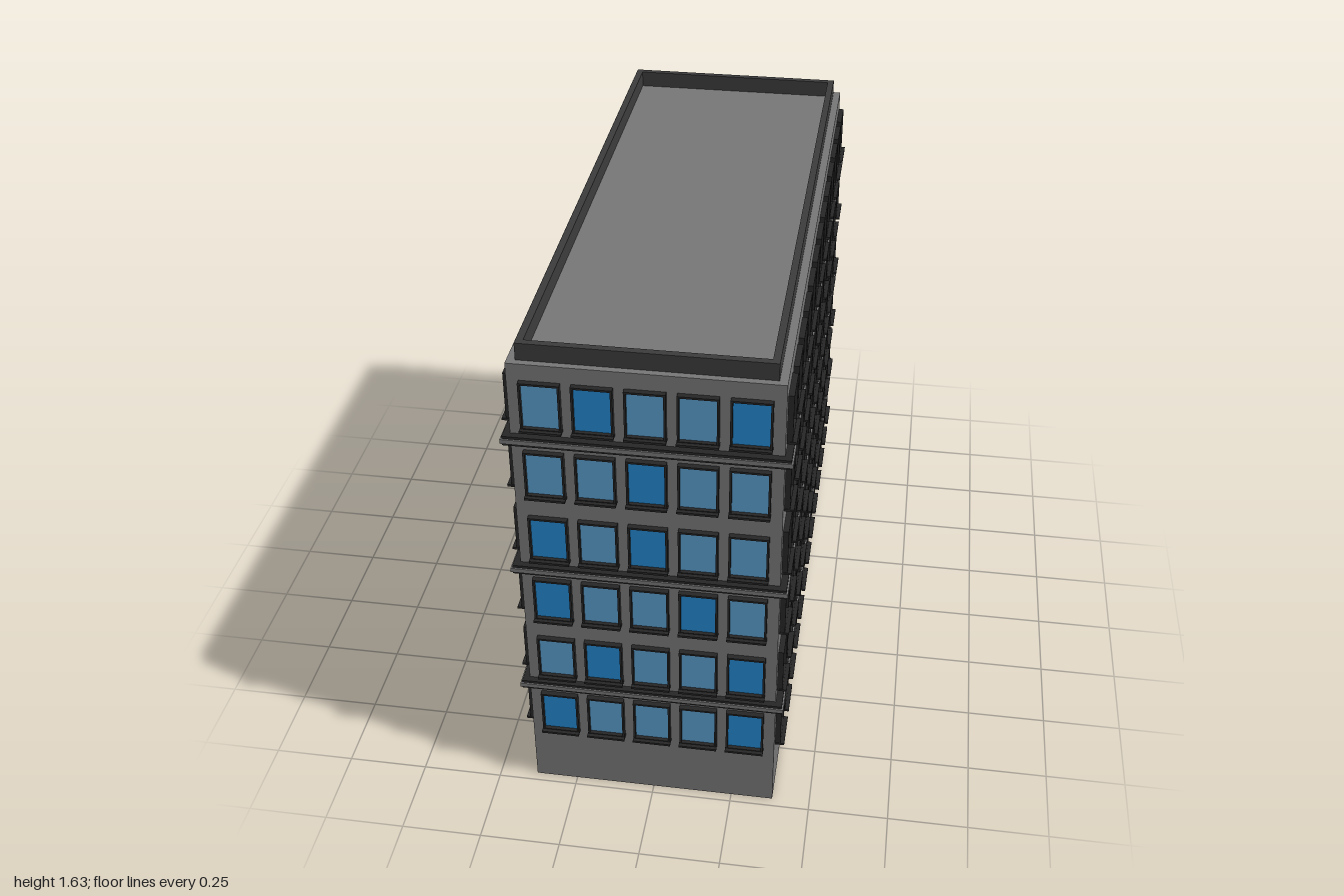
import * as THREE from 'three';

const mat = (name, color) => {
  const m = new THREE.MeshStandardMaterial({ color });
  m.name = name;
  return m;
};

export function createModel() {
  const wall = mat('wall grey', 0x777777);
  const dark = mat('parapet charcoal', 0x3c3c3c);
  const trim = mat('frame black', 0x262626);
  const paleGlass = mat('pale blue glass', 0x5b9dcd);
  const deepGlass = mat('deep blue glass', 0x2387cd);

  const X = 0.382, Z = 0.971, ROOF = 1.58;
  const DOOR_W = 0.08, DOOR_H = 0.17, DOOR_D = 0.06;
  const building = new THREE.Group();
  building.name = 'officeBuilding';

  const add = (parent, name, geometry, material, x = 0, y = 0, z = 0) => {
    const mesh = new THREE.Mesh(geometry, material);
    mesh.name = name;
    mesh.position.set(x, y, z);
    parent.add(mesh);
    return mesh;
  };
  const box = (w, h, d) => new THREE.BoxGeometry(w, h, d);

  // Ground storey: plan outline with the entrance notched into the +x side
  const plan = new THREE.Shape([
    [-X, -Z], [X, -Z], [X, -DOOR_W], [X - DOOR_D, -DOOR_W],
    [X - DOOR_D, DOOR_W], [X, DOOR_W], [X, Z], [-X, Z],
  ].map(([x, z]) => new THREE.Vector2(x, z)));
  const baseGeo = new THREE.ExtrudeGeometry(plan, { depth: DOOR_H, bevelEnabled: false });
  baseGeo.rotateX(-Math.PI / 2);
  add(building, 'groundStorey', baseGeo, wall);
  add(building, 'upperStoreys', box(2 * X, ROOF - DOOR_H, 2 * Z), wall, 0, (ROOF + DOOR_H) / 2, 0);
  add(building, 'entranceDoor', box(0.006, DOOR_H, 2 * DOOR_W), paleGlass, X - DOOR_D + 0.003, DOOR_H / 2, 0);

  // Rectangular ring, extruded along +z
  const ring = (w, h, border, depth) => {
    const rect = (Type, a, b) => new Type([
      new THREE.Vector2(-a, -b), new THREE.Vector2(a, -b),
      new THREE.Vector2(a, b), new THREE.Vector2(-a, b),
    ]);
    const shape = rect(THREE.Shape, w / 2, h / 2);
    shape.holes.push(rect(THREE.Path, w / 2 - border, h / 2 - border));
    return new THREE.ExtrudeGeometry(shape, { depth, bevelEnabled: false });
  };

  // Roof parapet
  const parapet = ring(0.716, 1.902, 0.021, 0.053);
  parapet.rotateX(-Math.PI / 2);
  add(building, 'parapet', parapet, dark, 0, ROOF, 0);

  // Cornice bands: a dark slab with a slightly prouder grey moulding
  for (const y of [0.413, 0.874, 1.336]) {
    add(building, 'corniceSlab', box(2 * X + 0.04, 0.03, 2 * Z + 0.04), trim, 0, y, 0);
    add(building, 'corniceMoulding', box(2 * X + 0.05, 0.014, 2 * Z + 0.05), wall, 0, y, 0);
  }

  // Windows
  const W = 0.115, H = 0.153;
  const frameGeo = ring(W, H, 0.006, 0.017);
  const glassGeo = box(W - 0.01, H - 0.01, 0.006);
  const sillGeo = box(W + 0.003, 0.007, 0.029);

  // One facade faces local +z; rows list the deep-coloured columns from the top
  const addFacade = (name, angle, distance, columns, spacing, rows) => {
    const facade = new THREE.Group();
    facade.name = name;
    facade.rotation.y = angle;
    rows.forEach((deep, row) => {
      const y = 1.452 - row * 0.231;
      for (let c = 0; c < columns; c++) {
        const x = (c - (columns - 1) / 2) * spacing;
        add(facade, 'windowFrame', frameGeo, trim, x, y, distance);
        add(facade, 'windowPane', glassGeo, deep.includes(c) ? deepGlass : paleGlass, x, y, distance + 0.002);
        add(facade, 'windowSill', sillGeo, trim, x, y - H / 2, distance + 0.0145);
      }
    });
    building.add(facade);
  };

  const shortRows = [[1, 4], [2], [0, 2], [0, 3], [1, 4], [0, 4]];
  const longRows = [
    [0, 2, 5, 9, 12], [2, 6, 7, 11], [0, 4, 9],
    [0, 2, 7, 12], [2, 4, 6, 9, 10, 12], [1, 7, 11],
  ];
  addFacade('frontWindows', 0, Z, 5, 0.145, shortRows);
  addFacade('backWindows', Math.PI, Z, 5, 0.145, shortRows);
  addFacade('leftWindows', Math.PI / 2, X, 13, 0.1474, longRows);
  addFacade('rightWindows', -Math.PI / 2, X, 13, 0.1474, longRows);

  return building;
}
